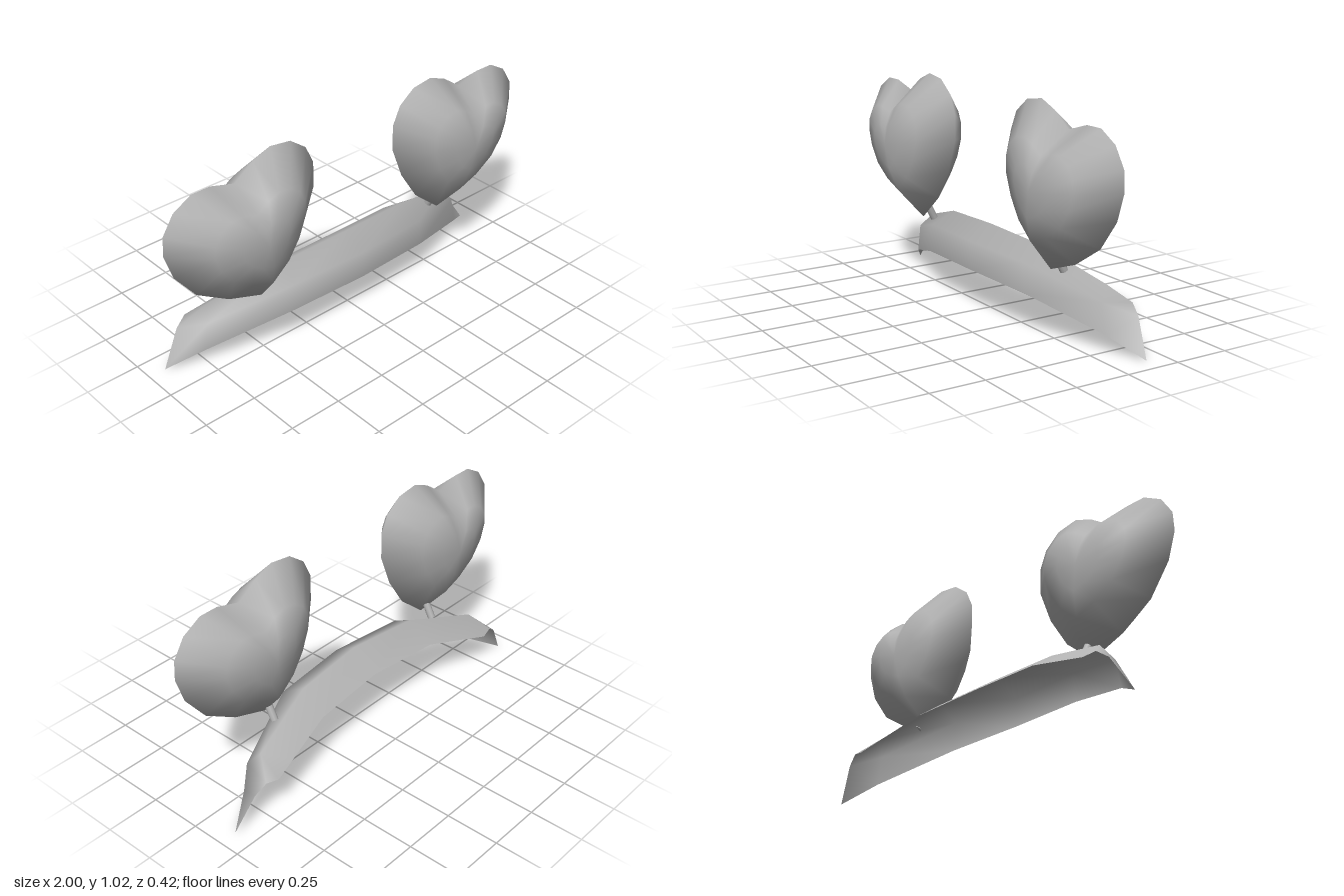
import * as THREE from 'three';

const grey = new THREE.MeshStandardMaterial({ color: 0xb2b2b2, side: THREE.DoubleSide });
grey.name = 'plain grey';

// Tilted heart outline, counter-clockwise from the bottom point
const OUTLINE = [
  [0.53, 0.32], [0.70, 0.38], [0.86, 0.48], [0.96, 0.61], [1.0, 0.73], [0.995, 0.82],
  [0.94, 0.905], [0.85, 0.955], [0.76, 0.955], [0.64, 0.92], [0.545, 0.985], [0.455, 1.02],
  [0.35, 1.005], [0.27, 0.945], [0.23, 0.86], [0.23, 0.74], [0.29, 0.585], [0.385, 0.44],
];
const CENTRE = [0.6, 0.675];
const HEART_Z = 0.043;
// Rings from front to back: [scale of outline, z offset]
const RINGS = [[0.31, 0.155], [0.6, 0.122], [1, 0], [0.6, -0.122], [0.31, -0.155]];

function build(positions, index) {
  const g = new THREE.BufferGeometry();
  g.setAttribute('position', new THREE.Float32BufferAttribute(positions, 3));
  g.setIndex(index);
  g.computeVertexNormals();
  return g;
}

// Puffed heart: scaled outlines stacked in z, closed by a pole on each side
function heartGeometry(side) {
  const outline = side > 0 ? OUTLINE : [...OUTLINE].reverse();
  const n = outline.length;
  const pos = [];
  const idx = [];
  for (const [s, z] of RINGS) {
    for (const [x, y] of outline) {
      pos.push(side * (CENTRE[0] + s * (x - CENTRE[0])), CENTRE[1] + s * (y - CENTRE[1]), HEART_Z + z);
    }
  }
  const front = n * RINGS.length;
  pos.push(side * CENTRE[0], CENTRE[1], HEART_Z + 0.166, side * CENTRE[0], CENTRE[1], HEART_Z - 0.166);
  const last = n * (RINGS.length - 1);
  for (let i = 0; i < n; i++) {
    const j = (i + 1) % n;
    idx.push(front, i, j, front + 1, last + j, last + i);
    for (let r = 0; r < RINGS.length - 1; r++) {
      const a = r * n, b = a + n;
      idx.push(a + i, b + i, b + j, a + i, b + j, a + j);
    }
  }
  return build(pos, idx);
}

// Band cross-sections from the middle to the end: lower front, upper front, ridge, back
const SECTIONS = [
  [[0, 0.195, 0.105], [0, 0.33, 0.11], [0, 0.395, 0.0], [0, 0.307, -0.125]],
  [[0.39, 0.185, 0.08], [0.38, 0.318, 0.08], [0.36, 0.375, -0.025], [0.37, 0.288, -0.148]],
  [[0.77, 0.085, -0.06], [0.745, 0.215, -0.06], [0.71, 0.275, -0.11], [0.60, 0.222, -0.19]],
  [[0.92, 0.003, -0.155], [0.825, 0.16, -0.185], [0.77, 0.2, -0.198], [0.71, 0.19, -0.21]],
];

// Open curved strip, mirrored about the middle
function bandGeometry() {
  const mirrored = SECTIONS.slice(1).reverse().map((s) => s.map(([x, y, z]) => [-x, y, z]));
  const rows = [...mirrored, ...SECTIONS];
  const m = rows[0].length;
  const idx = [];
  for (let r = 0; r < rows.length - 1; r++) {
    for (let k = 0; k < m - 1; k++) {
      const a = r * m + k, b = a + m;
      idx.push(a, b, b + 1, a, b + 1, a + 1);
    }
  }
  return build(rows.flat(2), idx);
}

// Short round pin between two points
function stemGeometry(from, to, radius) {
  const dir = to.clone().sub(from);
  const g = new THREE.CylinderGeometry(radius, radius, dir.length(), 10);
  g.applyQuaternion(new THREE.Quaternion().setFromUnitVectors(new THREE.Vector3(0, 1, 0), dir.clone().normalize()));
  const mid = from.clone().add(to).multiplyScalar(0.5);
  g.translate(mid.x, mid.y, mid.z);
  return g;
}

export function createModel() {
  const group = new THREE.Group();
  group.name = 'heartHeadband';
  const add = (name, geometry) => {
    const mesh = new THREE.Mesh(geometry, grey);
    mesh.name = name;
    group.add(mesh);
  };

  add('band', bandGeometry());
  for (const side of [1, -1]) {
    const label = side > 0 ? 'left' : 'right';
    add(label + 'Heart', heartGeometry(side));
    add(label + 'Stem', stemGeometry(
      new THREE.Vector3(side * 0.535, 0.305, -0.02),
      new THREE.Vector3(side * 0.535, 0.4, 0.03), 0.018));
  }
  return group;
}
